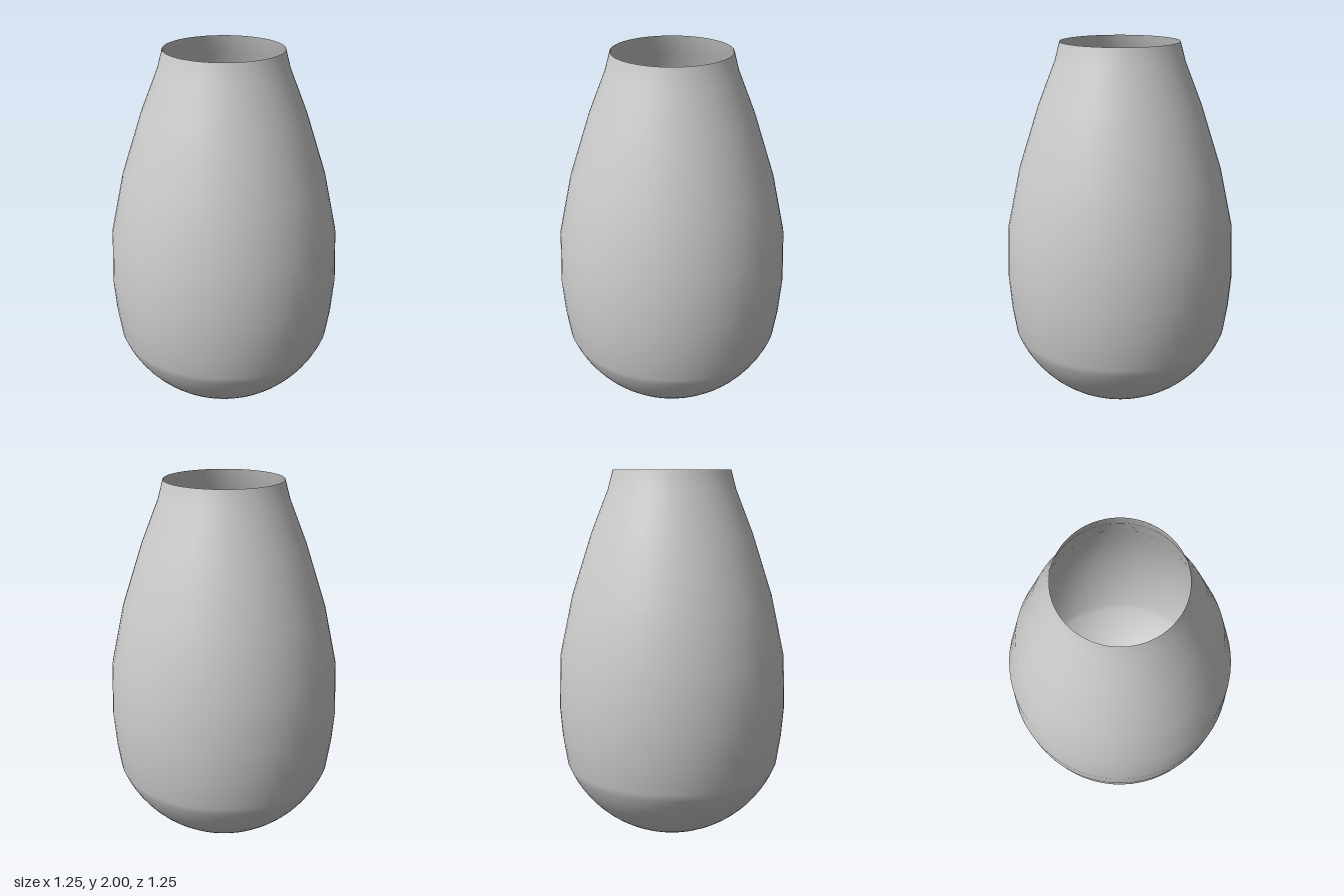
import * as THREE from 'three';

export function createModel() {
  const group = new THREE.Group();
  group.name = 'vase';

  const profile = [];
  // Rounded bottom: a spherical bowl
  const radius = 0.63, steps = 16, sweep = 1.213;
  for (let i = 0; i <= steps; i++) {
    const a = (sweep * i) / steps;
    profile.push(new THREE.Vector2(radius * Math.sin(a), radius * (1 - Math.cos(a))));
  }
  // Belly, shoulder and open neck
  for (const [r, y] of [
    [0.612, 0.56], [0.625, 0.735], [0.613, 1.015], [0.542, 1.335],
    [0.432, 1.67], [0.34, 1.9], [0.313, 2],
  ]) profile.push(new THREE.Vector2(r, y));

  // Thin, smooth single-walled shell
  const body = new THREE.Mesh(
    new THREE.LatheGeometry(profile, 64),
    new THREE.MeshStandardMaterial({ color: 0xcccccc, side: THREE.DoubleSide }),
  );
  body.name = 'vaseBody';
  group.add(body);
  return group;
}
